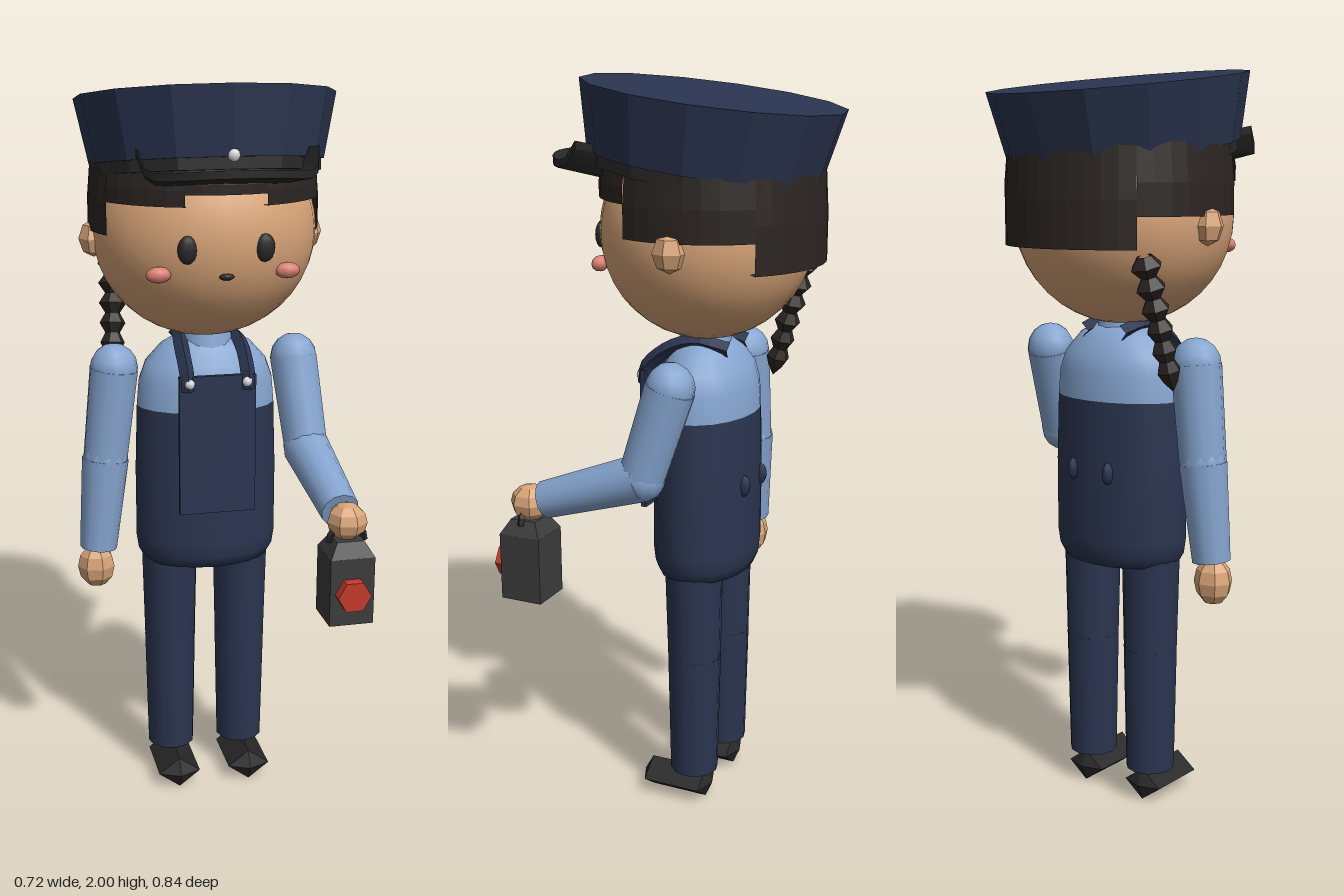
import * as THREE from 'three';

const NAVY = 0x2b3550, BLUE = 0x86a5d0, SKIN = 0xd9a579, HAIR = 0x2b2522;
const BLACK = 0x272727, GREY = 0x3c3c3c, RED = 0xc53a2c, PINK = 0xdb8172, WHITE = 0xd8dade;

const V = (x, y, z) => new THREE.Vector3(x, y, z);

function part(parent, name, geo, color, pos = [0, 0, 0], opts = {}) {
  const mesh = new THREE.Mesh(geo, new THREE.MeshStandardMaterial({ color, ...opts }));
  mesh.name = name;
  mesh.position.set(...pos);
  parent.add(mesh);
  return mesh;
}
const FLAT = { flatShading: true };
const THIN = { side: THREE.DoubleSide };

// Ellipsoid of given half sizes
const blob = (rx, ry, rz, w = 10, h = 8) => new THREE.SphereGeometry(1, w, h).scale(rx, ry, rz);
const lathe = (pts, seg, ...arc) => new THREE.LatheGeometry(pts.map(p => new THREE.Vector2(...p)), seg, ...arc);

// Tapered limb between two points
function limb(parent, name, a, b, ra, rb, color) {
  const d = b.clone().sub(a);
  const geo = new THREE.CylinderGeometry(rb, ra, d.length(), 12);
  const mesh = part(parent, name, geo, color, a.clone().add(b).multiplyScalar(0.5).toArray());
  mesh.quaternion.setFromUnitVectors(V(0, 1, 0), d.normalize());
  return mesh;
}

function buildHead(g) {
  part(g, 'head', blob(0.3, 0.285, 0.28, 28, 20), SKIN, [0, 1.61, -0.06]);
  for (const s of [-1, 1]) {
    part(g, 'ear', blob(0.04, 0.05, 0.045, 6, 4), SKIN, [s * 0.295, 1.59, -0.085], FLAT);
    part(g, 'eye', blob(0.026, 0.036, 0.014), BLACK, [s * 0.1, 1.595, 0.203]);
    part(g, 'cheek', blob(0.034, 0.021, 0.02, 8, 6), PINK, [s * 0.168, 1.53, 0.172]);
  }
  part(g, 'mouth', blob(0.02, 0.009, 0.012, 8, 6), HAIR, [0, 1.525, 0.207]);

  // Hair: stepped panels wrapped around the head, [start angle, end angle, bottom height]
  const panels = [[-20, 20, 1.73], [20, 65, 1.7], [-65, -20, 1.7], [65, 134, 1.615],
    [-134, -65, 1.615], [134, 226, 1.535]];
  for (const [a0, a1, yb] of panels) {
    const geo = lathe([[0.85, yb], [1, yb], [1, (yb + 1.78) / 2], [0.97, 1.8]], Math.ceil((a1 - a0) / 9),
      a0 * Math.PI / 180, (a1 - a0) * Math.PI / 180);
    geo.scale(0.308, 1, 0.295);
    part(g, 'hair', geo, HAIR, [0, 0, -0.075], { ...THIN, ...FLAT });
  }

  // Braid: beaded strand behind the right shoulder
  const pts = [[0.02, 0]];
  for (let i = 0; i < 6; i++) pts.push([0.043 - i * 0.002, 0.028 + i * 0.055], [0.021, 0.055 + i * 0.055]);
  pts.push([0, 0.36]);
  const braid = part(g, 'braid', lathe(pts, 6), HAIR, [-0.22, 1.52, -0.25], { ...FLAT, ...THIN });
  braid.quaternion.setFromUnitVectors(V(0, 1, 0), V(-0.02, -0.33, 0.09).normalize());
}

function buildCap(g) {
  const cap = new THREE.Group();
  cap.name = 'cap';
  cap.position.set(0.005, 1.955, -0.077);
  cap.rotation.x = -0.13;
  g.add(cap);
  part(cap, 'capCrown', new THREE.CylinderGeometry(0.345, 0.31, 0.17, 14), NAVY, [0, -0.085, 0], FLAT);
  part(cap, 'capBand', new THREE.CylinderGeometry(0.302, 0.302, 0.04, 14), BLACK, [0, -0.18, 0], FLAT);

  // Visor: a slab bent into a crescent whose tips curl up
  const geo = new THREE.BoxGeometry(2, 0.02, 1, 14, 1, 1);
  const p = geo.attributes.position;
  for (let i = 0; i < p.count; i++) {
    const t = p.getX(i), a = t * 1.4, outer = p.getZ(i) > 0;
    const x = (outer ? 0.235 : 0.21) * Math.sin(a);
    const z = outer ? 0.17 + 0.185 * Math.cos(a) : 0.13 + 0.04 * Math.cos(a);
    p.setXYZ(i, x, 1.755 + 0.19 * (z - 0.15) + 0.07 * t ** 8 + p.getY(i), z);
  }
  geo.computeVertexNormals();
  part(g, 'visor', geo, BLACK, [0.005, 0, 0]);
  part(g, 'capBadge', blob(0.016, 0.016, 0.012, 8, 6), WHITE, [0.005, 1.83, 0.258]);
}

function buildTorso(g) {
  const shape = (name, pts, color) => {
    const geo = lathe(pts, 20);
    geo.scale(0.2, 1, 0.137);
    part(g, name, geo, color, [0.005, 0, -0.065]);
  };
  shape('overalls', [[0, 0.68], [0.88, 0.68], [0.97, 0.71], [1, 0.75], [1, 0.95], [0.97, 1.13]], NAVY);
  shape('shirt', [[0.97, 1.13], [0.94, 1.2], [0.85, 1.25], [0.62, 1.3], [0.38, 1.325], [0, 1.33]], BLUE);
  part(g, 'collar', new THREE.CylinderGeometry(0.065, 0.08, 0.07, 12), BLUE, [0.005, 1.315, -0.055]);

  part(g, 'bib', new THREE.BoxGeometry(0.21, 0.385, 0.015), NAVY, [0.005, 1.047, 0.083]);
  for (const s of [-1, 1]) {
    const x = 0.005 + s * 0.083;
    const path = new THREE.CatmullRomCurve3([V(x, 1.2, 0.087), V(x, 1.24, 0.085), V(x, 1.305, 0.01),
      V(x * 0.9, 1.325, -0.06), V(x * 0.8, 1.31, -0.15)]);
    part(g, 'strap', new THREE.TubeGeometry(path, 12, 0.02, 4), NAVY, [0, 0, 0], FLAT);
    part(g, 'strapStud', blob(0.014, 0.014, 0.012, 8, 6), WHITE, [x - s * 0.005, 1.222, 0.1]);
    part(g, 'backButton', blob(0.016, 0.03, 0.018, 6, 6), NAVY, [0.005 + s * 0.06, 0.94, -0.195]);
  }
}

function buildArm(g, side, shoulder, elbow, wrist) {
  const arm = new THREE.Group();
  arm.name = side + 'Arm';
  g.add(arm);
  part(arm, 'shoulder', blob(0.067, 0.07, 0.065, 12, 8), BLUE, shoulder.toArray());
  limb(arm, 'upperSleeve', shoulder, elbow, 0.067, 0.062, BLUE);
  part(arm, 'elbow', blob(0.064, 0.064, 0.064, 12, 8), BLUE, elbow.toArray());
  limb(arm, 'lowerSleeve', elbow, wrist, 0.065, 0.052, BLUE);
  return arm;
}

function buildLeg(g, x) {
  const leg = new THREE.Group();
  leg.name = x > 0 ? 'leftLeg' : 'rightLeg';
  g.add(leg);
  limb(leg, 'thigh', V(x, 0.72, -0.068), V(x, 0.41, -0.07), 0.08, 0.073, NAVY);
  limb(leg, 'shin', V(x, 0.44, -0.07), V(x, 0.09, -0.07), 0.074, 0.067, NAVY);
  // Shoe: diamond-section block with pointed ends
  const shoe = lathe([[0, -0.125], [1, -0.105], [1, 0.06], [0, 0.085]], 4);
  shoe.rotateX(Math.PI / 2).scale(0.06, 0.045, 1);
  part(leg, 'shoe', shoe, BLACK, [x, 0.045, 0], { ...FLAT, ...THIN });
}

function buildLantern(g) {
  const lantern = new THREE.Group();
  lantern.name = 'lantern';
  lantern.position.set(0.295, 0, 0.335);
  g.add(lantern);
  part(lantern, 'lanternBody', new THREE.BoxGeometry(0.12, 0.185, 0.12), GREY, [0, 0.718, 0]);
  const top = new THREE.CylinderGeometry(0.052, 0.085, 0.04, 4).rotateY(Math.PI / 4);
  part(lantern, 'lanternTop', top, GREY, [0, 0.83, 0], FLAT);
  const lens = new THREE.CylinderGeometry(0.045, 0.045, 0.04, 6).rotateX(Math.PI / 2).rotateZ(Math.PI / 6);
  part(lantern, 'lanternLens', lens, RED, [-0.002, 0.715, 0.07], FLAT);
  part(lantern, 'lanternHandle', new THREE.TorusGeometry(0.048, 0.01, 4, 8, Math.PI), BLACK, [0, 0.84, 0], FLAT);
}

export function createModel() {
  const g = new THREE.Group();
  g.name = 'uniformedFigure';
  buildHead(g);
  buildCap(g);
  buildTorso(g);
  buildLeg(g, -0.1);
  buildLeg(g, 0.107);

  // Right arm hangs, left arm holds the lantern forward
  const right = buildArm(g, 'right', V(-0.25, 1.235, -0.07), V(-0.278, 0.98, -0.075), V(-0.304, 0.72, -0.07));
  part(right, 'hand', blob(0.053, 0.064, 0.05, 7, 6), SKIN, [-0.311, 0.665, -0.07], FLAT);
  const left = buildArm(g, 'left', V(0.258, 1.24, -0.068), V(0.278, 1.0, 0.005), V(0.292, 0.905, 0.285));
  part(left, 'hand', blob(0.054, 0.05, 0.056, 7, 6), SKIN, [0.296, 0.893, 0.33], FLAT);
  buildLantern(g);
  return g;
}
